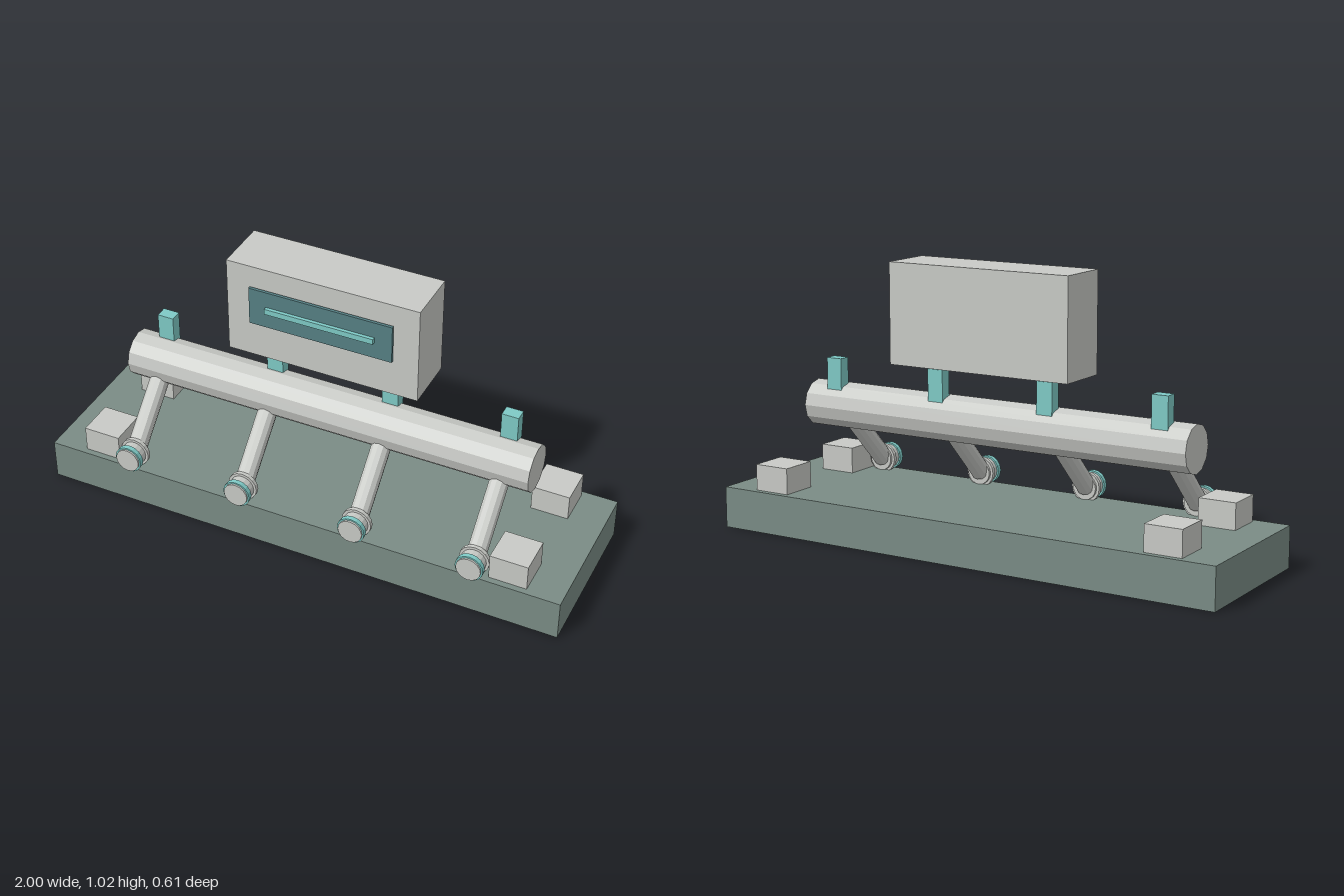
import * as THREE from 'three';

const material = (name, color, flatShading = false) => {
  const m = new THREE.MeshStandardMaterial({ color, flatShading });
  m.name = name;
  return m;
};

export function createModel() {
  const model = new THREE.Group();
  model.name = 'manifoldStation';

  const baseGreen = material('base green', 0x7a8c85);
  const paleGrey = material('pale grey', 0xc8cac6, true);
  const aqua = material('aqua', 0x7fcac6, true);
  const darkTeal = material('dark teal', 0x568084);

  const add = (name, geometry, mat, x, y, z, parent = model) => {
    const mesh = new THREE.Mesh(geometry, mat);
    mesh.name = name;
    mesh.position.set(x, y, z);
    parent.add(mesh);
    return mesh;
  };
  // Box given by its extents in y and z, centred on x
  const box = (name, mat, x, width, y0, y1, z0, z1) =>
    add(name, new THREE.BoxGeometry(width, y1 - y0, z1 - z0), mat, x, (y0 + y1) / 2, (z0 + z1) / 2);
  // Disc along z between two depths
  const disc = (name, mat, x, y, radius, z0, z1) =>
    add(name, new THREE.CylinderGeometry(radius, radius, z1 - z0, 16).rotateX(Math.PI / 2),
      mat, x, y, (z0 + z1) / 2);

  // Base slab and corner blocks
  box('base', baseGreen, 0, 2, 0, 0.153, -0.305, 0.285);
  for (const x of [-0.8, 0.8]) {
    box('frontBlock', paleGrey, x, 0.14, 0.153, 0.25, 0.12, 0.262);
    box('backBlock', paleGrey, x, 0.14, 0.153, 0.25, -0.283, -0.14);
  }

  // Horizontal main pipe
  const pipeY = 0.45, pipeZ = -0.01;
  add('mainPipe', new THREE.CylinderGeometry(0.087, 0.087, 1.566, 12).rotateZ(Math.PI / 2),
    paleGrey, 0, pipeY, pipeZ);

  // Four outlets: sloping branch pipe, nozzle and upright tab
  const nozzleY = 0.198, branchEndZ = 0.242;
  const length = Math.hypot(pipeY - nozzleY, branchEndZ - pipeZ);
  for (const x of [-0.67, -0.225, 0.225, 0.67]) {
    const branch = add('branchPipe', new THREE.CylinderGeometry(0.036, 0.036, length, 12),
      paleGrey, x, (pipeY + nozzleY) / 2, (pipeZ + branchEndZ) / 2);
    branch.rotation.x = -Math.PI / 4;
    disc('nozzleFlange', paleGrey, x, nozzleY, 0.056, 0.235, 0.25);
    disc('nozzleBody', paleGrey, x, nozzleY, 0.046, 0.225, 0.305);
    disc('nozzleRing', aqua, x, nozzleY, 0.052, 0.28, 0.298);
    box('uprightTab', aqua, x, 0.062, 0.51, 0.632, -0.065, -0.02);
  }

  // Control box with display panel and indicator bar
  box('controlBox', paleGrey, 0, 0.724, 0.65, 1.017, -0.145, 0.062);
  box('displayPanel', darkTeal, 0, 0.54, 0.793, 0.937, 0.067, 0.078);
  box('indicatorBar', aqua, 0, 0.41, 0.856, 0.877, 0.078, 0.091);

  return model;
}
